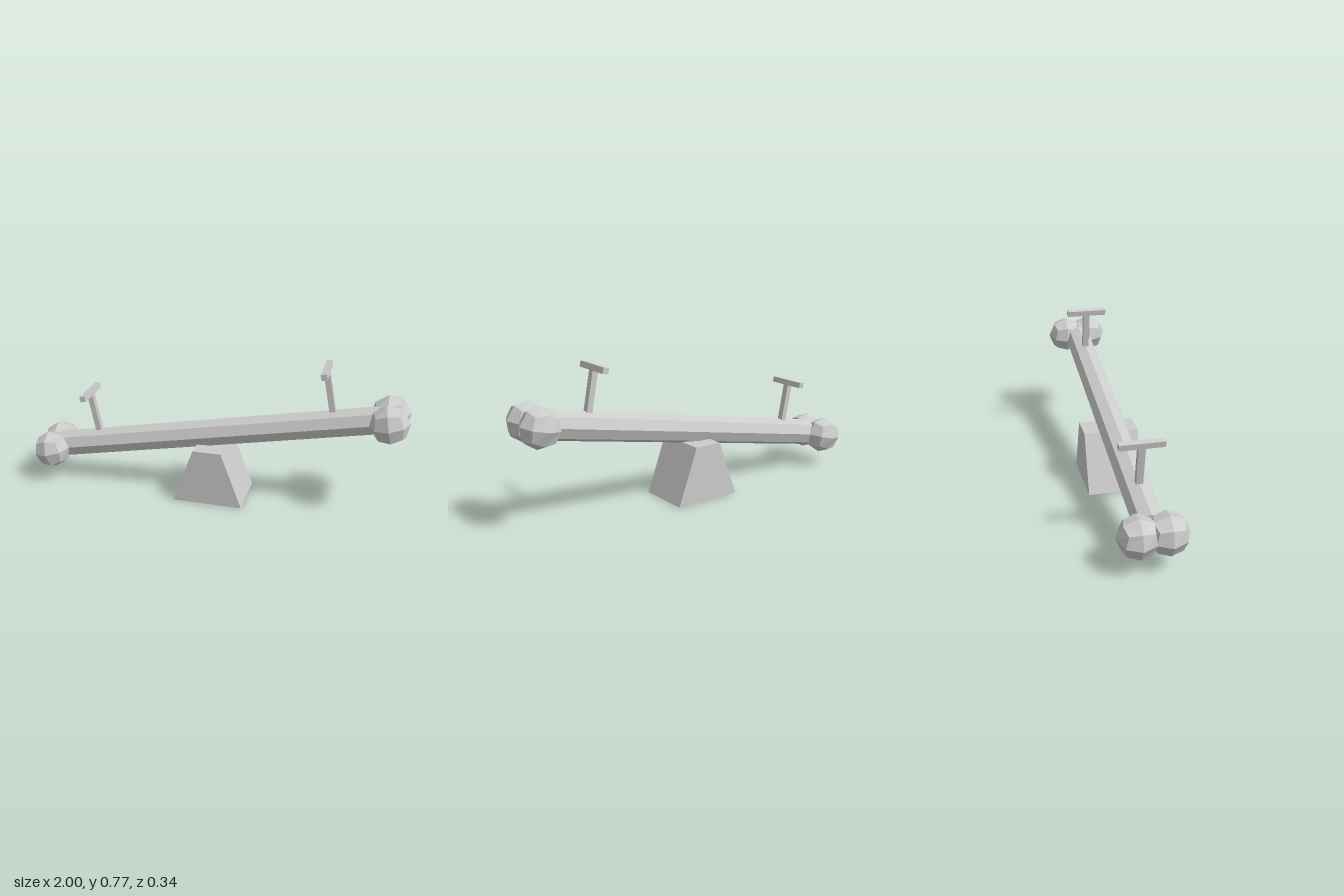
import * as THREE from 'three';

const grey = new THREE.MeshStandardMaterial({ color: 0xcccccc });
grey.name = 'plain grey';
grey.flatShading = true;

function part(name, geometry, x = 0, y = 0, z = 0) {
  const mesh = new THREE.Mesh(geometry, grey);
  mesh.name = name;
  mesh.position.set(x, y, z);
  return mesh;
}

// Ball made from a cube with 2 x 2 faces per side, pushed out to a sphere
function knobGeometry(radius) {
  const geometry = new THREE.BoxGeometry(1, 1, 1, 2, 2, 2);
  const pos = geometry.attributes.position;
  const v = new THREE.Vector3();
  for (let i = 0; i < pos.count; i++) {
    v.fromBufferAttribute(pos, i).setLength(radius);
    pos.setXYZ(i, v.x, v.y, v.z);
  }
  const flat = geometry.toNonIndexed();
  flat.computeVertexNormals();
  return flat;
}

export function createModel() {
  const model = new THREE.Group();
  model.name = 'seesaw';

  // Tapered support block
  const profile = new THREE.Shape([
    new THREE.Vector2(-0.185, 0),
    new THREE.Vector2(0.185, 0),
    new THREE.Vector2(0.075, 0.3),
    new THREE.Vector2(-0.075, 0.3),
  ]);
  const block = new THREE.ExtrudeGeometry(profile, { depth: 0.284, bevelEnabled: false });
  model.add(part('supportBlock', block, 0, 0, -0.142));

  // Everything that tilts together
  const plank = new THREE.Group();
  plank.name = 'plank';
  plank.position.y = 0.355;
  plank.rotation.z = THREE.MathUtils.degToRad(11);
  model.add(plank);

  // Eight-sided beam with an edge on top
  const beam = new THREE.CylinderGeometry(0.074, 0.074, 1.74, 8).rotateZ(Math.PI / 2);
  plank.add(part('beam', beam));

  const knob = knobGeometry(0.101);
  for (const side of [-1, 1]) {
    // Pair of knobs at each end
    for (const z of [0.068, -0.068]) plank.add(part('endKnob', knob, side * 0.918, 0, z));

    // T-shaped handle
    const handle = new THREE.Group();
    handle.name = 'handle';
    handle.position.x = side * 0.641;
    handle.add(part('handlePost', new THREE.BoxGeometry(0.03, 0.22, 0.033), 0, 0.165, 0));
    handle.add(part('handleBar', new THREE.BoxGeometry(0.03, 0.03, 0.216), 0, 0.285, 0));
    plank.add(handle);
  }
  return model;
}
